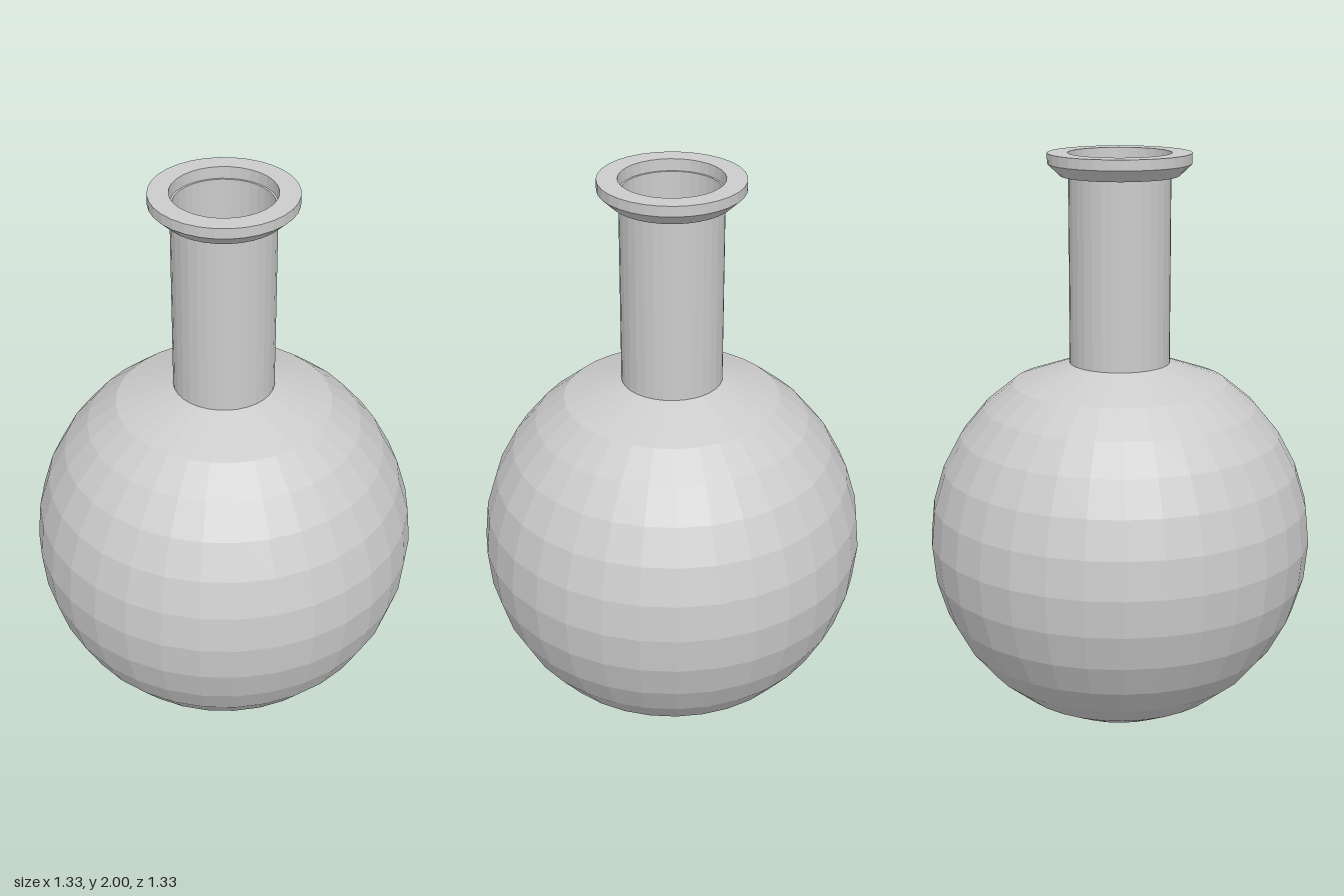
import * as THREE from 'three';

const SEGMENTS = 32;
const CENTRE_Y = 0.668;
const STEP = Math.PI / 16;

export function createModel() {
  const model = new THREE.Group();
  const glass = new THREE.MeshStandardMaterial({ color: 0xcccccc, flatShading: true });

  // Turned part from a profile: outside upwards, then inside downwards
  const addTurned = (name, profile) => {
    const points = profile.map(([r, y]) => new THREE.Vector2(r, y));
    const mesh = new THREE.Mesh(new THREE.LatheGeometry(points, SEGMENTS), glass);
    mesh.name = name;
    model.add(mesh);
  };

  // Rings of a sphere from the bottom pole up to the shoulder
  const bowl = (radius) => Array.from({ length: 14 }, (_, i) => {
    const a = (i - 8) * STEP;
    return [i === 0 ? 0 : radius * Math.cos(a), CENTRE_Y + radius * Math.sin(a)];
  });

  // Hollow round body with an opening under the neck
  addTurned('body', [
    ...bowl(0.664),
    [0.172, 1.29], [0.165, 1.28],
    ...bowl(0.652).reverse(),
  ]);

  // Straight open neck
  addTurned('neck', [
    [0.165, 1.28], [0.172, 1.28], [0.172, 1.96], [0.165, 1.96], [0.165, 1.28],
  ]);

  // Flared lip with a bevelled underside
  addTurned('lip', [
    [0.172, 1.925], [0.2, 1.925], [0.242, 1.965], [0.242, 2], [0.174, 2], [0.172, 1.925],
  ]);

  return model;
}
